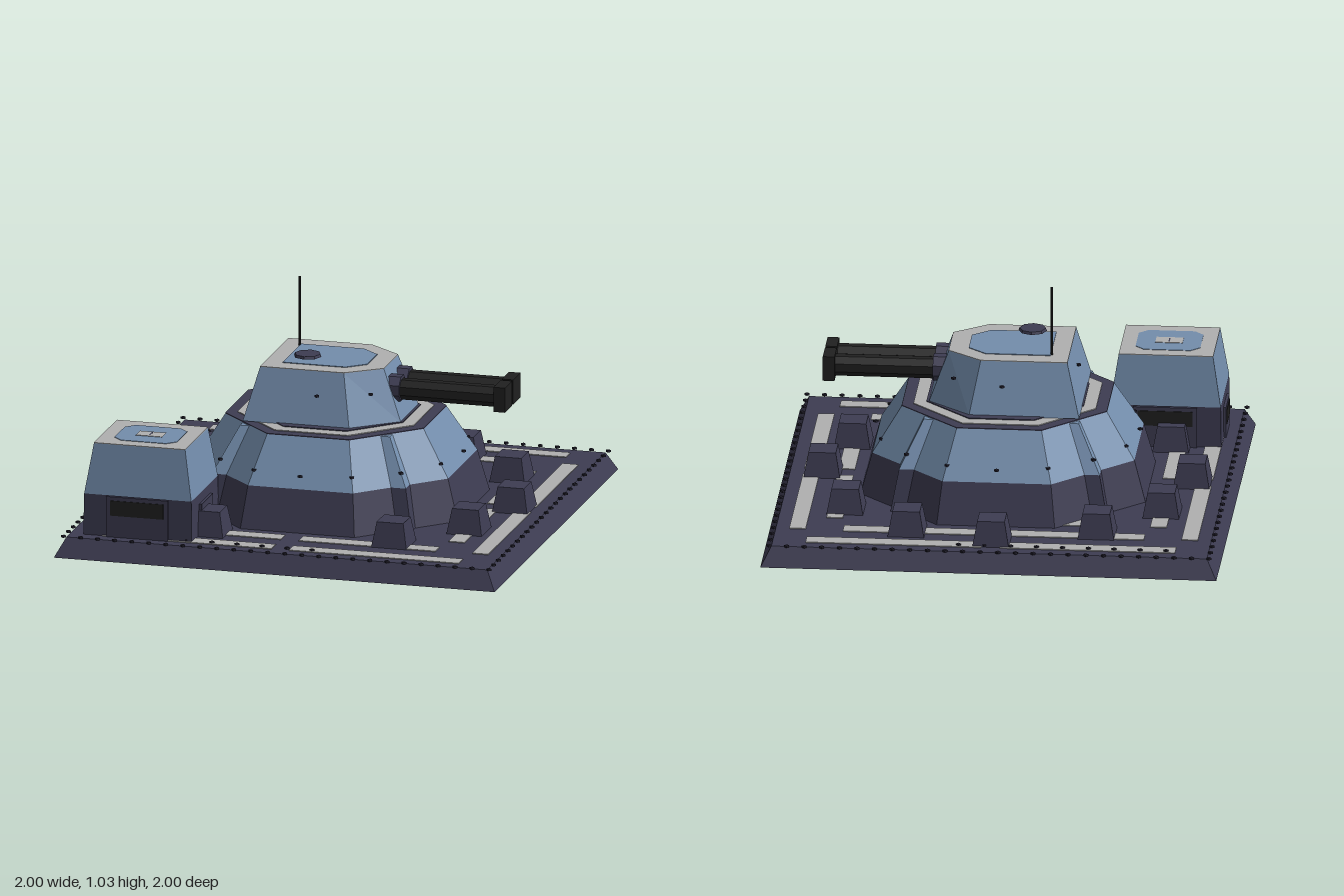
import * as THREE from 'three';

const mat = (name, color, side = THREE.FrontSide) => {
  const m = new THREE.MeshStandardMaterial({ color, side, flatShading: true });
  m.name = name;
  return m;
};

// Polygons are [x, z] corner lists, ordered from +x towards +z.
const rect = (cx, cz, hx, hz) => [
  [cx - hx, cz - hz], [cx + hx, cz - hz], [cx + hx, cz + hz], [cx - hx, cz + hz]];
const octagon = (apothem) => Array.from({ length: 8 }, (_, i) => {
  const a = (i + 0.5) * Math.PI / 4, r = apothem / Math.cos(Math.PI / 8);
  return [r * Math.cos(a), r * Math.sin(a)];
});
const wedge = (back, shoulder, front, side, nose) => [
  [back, -side], [shoulder, -side], [front, -nose], [front, nose], [shoulder, side], [back, side]];
const cutRect = (cx, cz, hx, hz, c) => [
  [cx - hx + c, cz - hz], [cx + hx - c, cz - hz], [cx + hx, cz - hz + c], [cx + hx, cz + hz - c],
  [cx + hx - c, cz + hz], [cx - hx + c, cz + hz], [cx - hx, cz + hz - c], [cx - hx, cz - hz + c]];

// Capped shell, open underneath, between a lower and an upper polygon.
function frustum(y0, low, y1, high) {
  const pos = [], n = low.length;
  const a = (i) => [low[i % n][0], y0, low[i % n][1]];
  const b = (i) => [high[i % n][0], y1, high[i % n][1]];
  const tri = (...pts) => pts.forEach((p) => pos.push(...p));
  for (let i = 0; i < n; i++) {
    tri(a(i), b(i), b(i + 1));
    tri(a(i), b(i + 1), a(i + 1));
    if (i > 0 && i < n - 1) tri(b(0), b(i + 1), b(i));
  }
  const g = new THREE.BufferGeometry();
  g.setAttribute('position', new THREE.Float32BufferAttribute(pos, 3));
  g.computeVertexNormals();
  return g;
}

export function createModel() {
  const armour = mat('blue armour', 0x738dac);
  const hull = mat('dark violet hull', 0x3d3c52, THREE.DoubleSide);
  const grey = mat('grey paint', 0xb0b0b0);
  const gunmetal = mat('black gunmetal', 0x202020);
  const rivetMat = mat('rivet', 0x211f2b);

  const model = new THREE.Group();
  model.name = 'bunkerFortress';
  const group = (name) => {
    const g = new THREE.Group();
    g.name = name;
    model.add(g);
    return g;
  };
  const add = (parent, name, geo, material, x = 0, y = 0, z = 0) => {
    const m = new THREE.Mesh(geo, material);
    m.name = name;
    m.position.set(x, y, z);
    parent.add(m);
    return m;
  };
  const plate = (parent, name, poly, y, material, t = 0.004) =>
    add(parent, name, frustum(y, poly, y + t, poly), material);

  // Base slab, hollow underneath
  const base = group('base');
  const deck = 0.085;
  add(base, 'baseSlab', frustum(0, rect(0, 0, 1, 1), deck, rect(0, 0, 0.955, 0.955)), hull);

  // Painted stripes: [distance from centre, length end]
  for (const s of [-1, 1]) for (const e of [-1, 1]) {
    for (const [d, end] of [[0.865, 0.81], [0.71, 0.66]]) {
      plate(base, 'deckStripe', rect(e * (end + 0.04) / 2, s * d, (end - 0.04) / 2, 0.036), deck, grey);
    }
    for (const [d, end] of [[0.86, 0.73], [0.71, 0.58]]) {
      plate(base, 'deckStripe', rect(s * d, e * (end + 0.04) / 2, 0.036, (end - 0.04) / 2), deck, grey);
    }
  }
  plate(base, 'deckStripe', rect(-0.36, -0.555, 0.15, 0.036), deck, grey);

  // Rivets around the deck edge and in two short rows
  const rivets = group('rivets');
  const rivetGeo = new THREE.CylinderGeometry(0.011, 0.011, 0.009, 4);
  const rivet = (x, y, z) => add(rivets, 'rivet', rivetGeo, rivetMat, x, y, z);
  for (let i = 0; i < 26; i++) {
    const t = -0.965 + i * 1.93 / 25;
    for (const s of [-1, 1]) {
      rivet(t, deck + 0.005, s * 0.965);
      if (i > 0 && i < 25) rivet(s * 0.965, deck + 0.005, t);
    }
  }
  for (let i = 0; i < 9; i++) for (const s of [-1, 1]) rivet(-0.77 + i * 0.1138, deck + 0.007, s * 0.885);
  // Rivets around dome and turret
  for (const [n, r, y] of [[16, 0.58, 0.33], [8, 0.31, 0.62]]) {
    for (let i = 0; i < n; i++) {
      const a = i * 2 * Math.PI / n;
      rivet(r * Math.cos(a), y, r * Math.sin(a));
    }
  }

  // Anti-vehicle blocks
  const blocks = group('barrierBlocks');
  const blockGeo = frustum(deck, rect(0, 0, 0.08, 0.08), 0.197, rect(0, 0, 0.06, 0.06));
  for (const [x, z] of [[0, -0.81], [0.38, -0.715], [0.67, -0.455], [0.81, 0], [0.71, 0.38], [0.45, 0.67],
    [-0.37, 0.715], [-0.68, 0.455], [-0.81, 0], [-0.71, -0.385], [-0.45, -0.675]]) {
    add(blocks, 'barrierBlock', blockGeo, hull, x, 0, z);
  }

  // Octagonal dome with square corner buttresses
  const dome = group('dome');
  const sq = (h) => rect(0, 0, h, h);
  add(dome, 'domeSkirt', frustum(deck, octagon(0.625), 0.27, octagon(0.575)), hull);
  add(dome, 'domeArmour', frustum(0.27, octagon(0.575), 0.472, octagon(0.45)), armour);
  add(dome, 'buttressSkirt', frustum(deck, sq(0.475), 0.27, sq(0.44)), hull);
  add(dome, 'buttressArmour', frustum(0.27, sq(0.44), 0.47, sq(0.34)), armour);
  plate(dome, 'domeRoof', octagon(0.45), 0.472, hull);
  plate(dome, 'domeRoofRing', octagon(0.4), 0.476, grey);
  plate(dome, 'domeRoofCentre', octagon(0.345), 0.48, hull);

  // Turret
  const turret = group('turret');
  const roof = wedge(-0.28, 0.1, 0.25, 0.23, 0.115);
  add(turret, 'turretBody', frustum(0.48, wedge(-0.338, 0.145, 0.335, 0.305, 0.145), 0.709, roof), armour);
  plate(turret, 'turretRoof', roof, 0.709, grey, 0.003);
  plate(turret, 'turretRoofPanel', wedge(-0.2, 0.085, 0.165, 0.15, 0.08), 0.712, armour, 0.003);
  add(turret, 'hatch', new THREE.CylinderGeometry(0.058, 0.062, 0.012, 8), hull, -0.1, 0.743, 0.1);
  add(turret, 'antenna', new THREE.CylinderGeometry(0.006, 0.006, 0.315, 6), gunmetal, -0.203, 0.868, -0.135);

  // Twin guns with flat-topped octagonal barrels
  const guns = group('twinGuns');
  const along = (r, len) => new THREE.CylinderGeometry(r, r, len, 8).rotateY(Math.PI / 8).rotateZ(Math.PI / 2);
  for (const s of [-1, 1]) {
    const z = s * 0.067;
    add(guns, 'gunMount', along(0.06, 0.08), hull, 0.28, 0.615, z);
    add(guns, 'barrel', along(0.048, 0.48), gunmetal, 0.53, 0.612, z);
    add(guns, 'muzzle', new THREE.BoxGeometry(0.052, 0.112, 0.117), gunmetal, 0.776, 0.612, z);
  }

  // Corner bunker
  const bunker = group('cornerBunker');
  const cx = -0.65, cz = 0.675;
  const box = (hx, hz) => rect(cx, cz, hx, hz);
  add(bunker, 'bunkerBase', frustum(deck, box(0.246, 0.218), 0.27, box(0.243, 0.215)), hull);
  add(bunker, 'bunkerArmour', frustum(0.27, box(0.243, 0.215), 0.493, box(0.207, 0.185)), armour);
  plate(bunker, 'bunkerRoof', box(0.207, 0.185), 0.493, grey, 0.003);
  plate(bunker, 'roofPanel', cutRect(cx, cz, 0.142, 0.122, 0.04), 0.496, armour, 0.002);
  plate(bunker, 'roofMark', box(0.06, 0.034), 0.498, grey, 0.002);
  plate(bunker, 'roofSlot', box(0.003, 0.022), 0.5, hull, 0.001);

  // Wall frames, reaching just through the deck; all but the inner one hold a firing slit
  const wallFrames = [
    { turn: 0, reach: 0.229, width: 0.28, top: 0.268, slitY: 0.217 },
    { turn: 1, reach: 0.256, width: 0.18, top: 0.225 },
    { turn: 2, reach: 0.229, width: 0.28, top: 0.268, slitY: 0.217 },
    { turn: 3, reach: 0.256, width: 0.18, top: 0.225, slitY: 0.175 },
  ];
  for (const { turn, reach, width, top, slitY } of wallFrames) {
    const side = new THREE.Group();
    side.name = 'wallFrame';
    side.position.set(cx, 0, cz);
    side.rotation.y = turn * Math.PI / 2;
    const bottom = 0.079;
    add(side, 'frame', new THREE.BoxGeometry(width, top - bottom, 0.022), hull, 0, (top + bottom) / 2, reach - 0.011);
    if (slitY) add(side, 'firingSlit', new THREE.BoxGeometry(width - 0.04, 0.068, 0.006), gunmetal, 0, slitY, reach);
    bunker.add(side);
  }
  return model;
}
